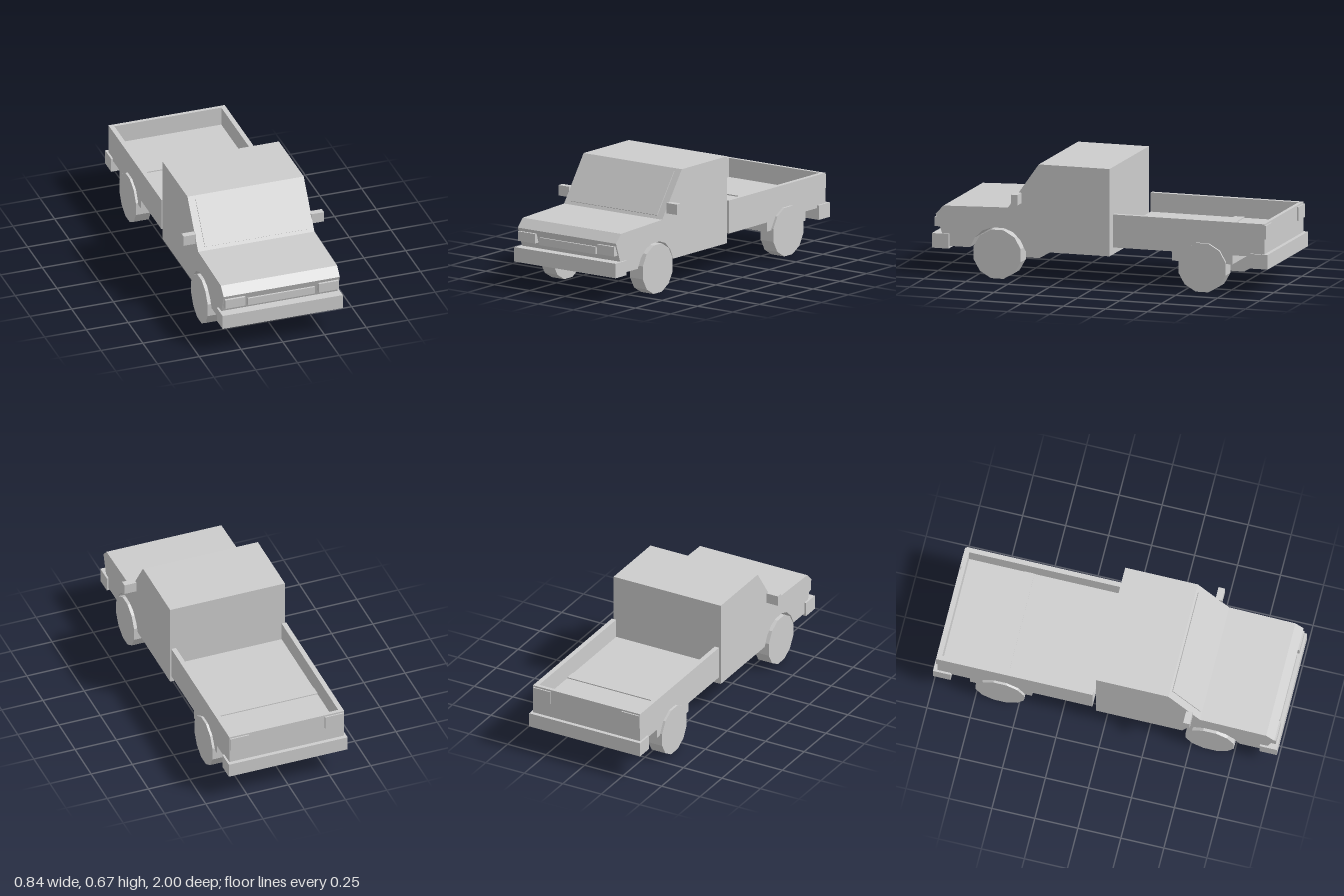
import * as THREE from 'three';

export function createModel() {
  const truck = new THREE.Group();
  truck.name = 'pickupTruck';
  const grey = new THREE.MeshStandardMaterial({ color: 0xcccccc });
  grey.name = 'lightGrey';

  const add = (name, geometry) => {
    const mesh = new THREE.Mesh(geometry, grey);
    mesh.name = name;
    truck.add(mesh);
    return mesh;
  };
  // Box given by its limits on each axis
  const box = (name, x0, x1, y0, y1, z0, z1) => add(name,
    new THREE.BoxGeometry(x1 - x0, y1 - y0, z1 - z0)
      .translate((x0 + x1) / 2, (y0 + y1) / 2, (z0 + z1) / 2));
  const outline = (points) => new THREE.Shape(points.map(([a, b]) => new THREE.Vector2(a, b)));

  const halfWidth = 0.348;
  const axleZ = [0.61, -0.61];

  // Cab and bonnet: side profile (z, y) with open wheel arch, extruded across
  const cab = new THREE.ExtrudeGeometry(outline([
    [-0.055, 0.167], [0.447, 0.167], [0.475, 0.225], [0.52, 0.27], [0.575, 0.29],
    [0.645, 0.29], [0.7, 0.27], [0.748, 0.225], [0.778, 0.167], [0.92, 0.167],
    [0.943, 0.237], [0.982, 0.348], [0.935, 0.397], [0.55, 0.41], [0.367, 0.67], [-0.055, 0.67],
  ]), { depth: halfWidth * 2, bevelEnabled: false });
  cab.translate(0, 0, -halfWidth).rotateY(-Math.PI / 2);
  add('cab', cab);

  // Windscreen plate lying on the sloping pillar line
  const windscreen = add('windscreen', new THREE.BoxGeometry(0.61, 0.279, 0.009));
  windscreen.position.set(0, 0.541, 0.459);
  windscreen.rotation.x = -Math.atan2(0.183, 0.26);

  // Load bed: U-shaped section (x, y) run along z, closed by a tailgate
  const bed = new THREE.ExtrudeGeometry(outline([
    [-halfWidth, 0.22], [halfWidth, 0.22], [halfWidth, 0.41], [0.32, 0.41],
    [0.32, 0.3], [-0.32, 0.3], [-0.32, 0.41], [-halfWidth, 0.41],
  ]), { depth: 0.88, bevelEnabled: false });
  bed.translate(0, 0, -0.955);
  add('loadBed', bed);
  box('tailgate', -halfWidth, halfWidth, 0.22, 0.41, -0.977, -0.955);
  box('bedRib', -0.32, 0.32, 0.295, 0.306, -0.635, -0.575);
  box('bedUnderside', -halfWidth, halfWidth, 0.167, 0.221, -0.787, -0.427);

  // Bumpers, grille
  box('frontBumper', -0.36, 0.36, 0.153, 0.237, 0.9, 1);
  box('rearBumper', -0.36, 0.36, 0.153, 0.237, -1, -0.897);
  box('grille', -0.2, 0.2, 0.267, 0.31, 0.94, 0.98);

  // Parts mirrored on both sides
  for (const s of [1, -1]) {
    const side = s > 0 ? 'left' : 'right';
    const pair = (name, a, b, ...rest) =>
      box(side + name, Math.min(s * a, s * b), Math.max(s * a, s * b), ...rest);
    pair('Headlight', 0.22, 0.34, 0.274, 0.329, 0.95, 0.99);
    pair('TailLight', 0.23, 0.345, 0.322, 0.4, -0.985, -0.977);
    pair('Mirror', 0.345, 0.42, 0.44, 0.5, 0.47, 0.508);
  }

  // Twelve-sided wheels with a flat resting on the ground, and axles
  const wheel = new THREE.CylinderGeometry(0.145, 0.145, 0.09, 12).toNonIndexed();
  wheel.rotateY(Math.PI / 12).rotateZ(Math.PI / 2);
  wheel.computeVertexNormals();
  axleZ.forEach((z, i) => {
    const end = i === 0 ? 'front' : 'rear';
    box(end + 'Axle', -0.28, 0.28, 0.12, 0.17, z - 0.025, z + 0.025);
    for (const s of [1, -1]) {
      add(end + (s > 0 ? 'Left' : 'Right') + 'Wheel', wheel).position.set(s * 0.317, 0.14, z);
    }
  });

  return truck;
}
